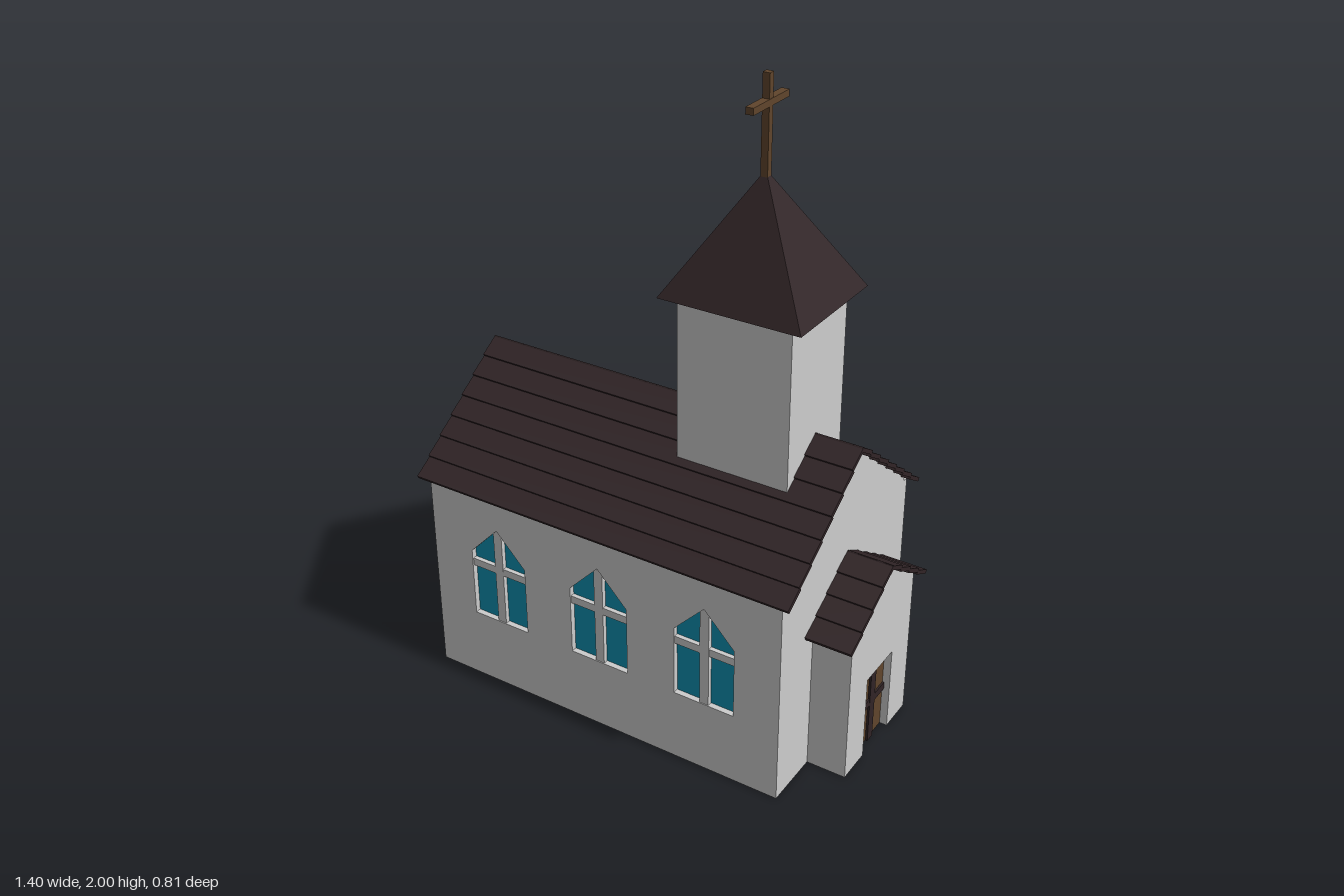
import * as THREE from 'three';

export function createModel() {
  const model = new THREE.Group();
  const paint = (name, color) => {
    const m = new THREE.MeshStandardMaterial({ color });
    m.name = name;
    return m;
  };
  const wall = paint('white plaster', 0xcccccc);
  const roof = paint('dark roof wood', 0x302426);
  const wood = paint('brown wood', 0x60452c);
  const glass = paint('blue glass', 0x0f91b1);

  function add(name, geometry, material, parent = model) {
    const mesh = new THREE.Mesh(geometry, material);
    mesh.name = name;
    parent.add(mesh);
    return mesh;
  }
  // Box given by its limits on each axis
  function box(name, [x0, x1], [y0, y1], [z0, z1], material, parent) {
    const mesh = add(name, new THREE.BoxGeometry(x1 - x0, y1 - y0, z1 - z0), material, parent);
    mesh.position.set((x0 + x1) / 2, (y0 + y1) / 2, (z0 + z1) / 2);
    return mesh;
  }
  const polygon = (pts) => new THREE.Shape(pts.map(([x, y]) => new THREE.Vector2(x, y)));
  const extrude = (shape, depth) => new THREE.ExtrudeGeometry(shape, { depth, bevelEnabled: false });
  // Cross-section in (z, y), extruded along x
  function alongX(name, pts, x0, x1, material) {
    const mesh = add(name, extrude(polygon(pts), x1 - x0).rotateY(Math.PI / 2), material);
    mesh.position.x = x0;
  }
  const gable = (half, eave, apex) => [[-half, 0], [half, 0], [half, eave], [0, apex], [-half, eave]];

  // Nave core and the two long walls with pointed, recessed windows
  alongX('nave', gable(0.36, 0.7, 0.98), -0.67, 0.555, wall);
  for (const s of [1, -1]) {
    const side = new THREE.Group();
    side.name = s > 0 ? 'frontWall' : 'backWall';
    side.rotation.y = s > 0 ? 0 : Math.PI;
    model.add(side);
    const [x0, x1] = s > 0 ? [-0.67, 0.555] : [-0.555, 0.67];
    const shape = polygon([[x0, 0], [x1, 0], [x1, 0.687], [x0, 0.687]]);
    for (const wx of [-0.425, -0.057, 0.307]) {
      const x = wx * s;
      const outline = [[x - 0.1, 0.235], [x - 0.1, 0.465], [x, 0.57], [x + 0.1, 0.465], [x + 0.1, 0.235]];
      shape.holes.push(polygon(outline));
      const pane = add('windowPane', new THREE.ShapeGeometry(polygon(outline.slice().reverse())), glass, side);
      pane.position.z = 0.362;
      box('windowMullion', [x - 0.015, x + 0.015], [0.235, 0.565], [0.36, 0.377], wall, side);
      box('windowCrossbar', [x - 0.1, x + 0.1], [0.41, 0.435], [0.36, 0.376], wall, side);
    }
    add('sideWall', extrude(shape, 0.02), wall, side).position.z = 0.36;
  }

  // Gabled roof of overlapping boards, each tipped up at its lower edge
  function boardRoof(name, x0, x1, half, eave, apex, count) {
    const group = new THREE.Group();
    group.name = name;
    model.add(group);
    const angle = Math.atan2(apex - eave, half);
    const length = Math.hypot(half, apex - eave);
    const step = length / count;
    for (const s of [1, -1]) {
      const slope = new THREE.Group();
      slope.name = 'roofSlope';
      slope.position.y = apex - 0.012;
      slope.rotation.order = 'YXZ';
      slope.rotation.set(angle, s > 0 ? 0 : Math.PI, 0);
      group.add(slope);
      for (let i = 0; i < count; i++) {
        const board = add('roofBoard', new THREE.BoxGeometry(x1 - x0, 0.013, step * 1.04), roof, slope);
        board.position.set(s * (x0 + x1) / 2, -0.001, step * (i + 0.48));
        board.rotation.x = -0.1;
      }
    }
  }
  boardRoof('naveRoof', -0.7, 0.585, 0.4, 0.69, 1.0, 7);
  boardRoof('porchRoof', 0.552, 0.7, 0.24, 0.49, 0.65, 4);

  // Porch with a recessed doorway
  alongX('porch', gable(0.195, 0.5, 0.628), 0.54, 0.65, wall);
  alongX('porchFront', [
    [-0.195, 0], [-0.08, 0], [-0.08, 0.28], [0.08, 0.28], [0.08, 0],
    [0.195, 0], [0.195, 0.5], [0, 0.628], [-0.195, 0.5],
  ], 0.65, 0.68, wall);
  box('door', [0.648, 0.656], [0, 0.28], [-0.08, 0.08], wood);
  box('doorUpright', [0.655, 0.663], [0, 0.28], [-0.016, 0.016], roof);
  box('doorBar', [0.655, 0.662], [0.133, 0.158], [-0.08, 0.08], roof);

  // Tower, spire and cross
  box('tower', [0.075, 0.435], [0.7, 1.385], [-0.155, 0.155], wall);
  const spire = new THREE.CylinderGeometry(0, Math.SQRT2, 0.355, 4, 1, false, Math.PI / 4)
    .scale(0.224, 1, 0.19).toNonIndexed();
  spire.computeVertexNormals();
  add('spire', spire, roof).position.set(0.255, 1.5575, 0);
  box('crossPost', [0.244, 0.266], [1.71, 2], [-0.01, 0.01], wood);
  box('crossArm', [0.243, 0.267], [1.91, 1.93], [-0.093, 0.093], wood);

  return model;
}
